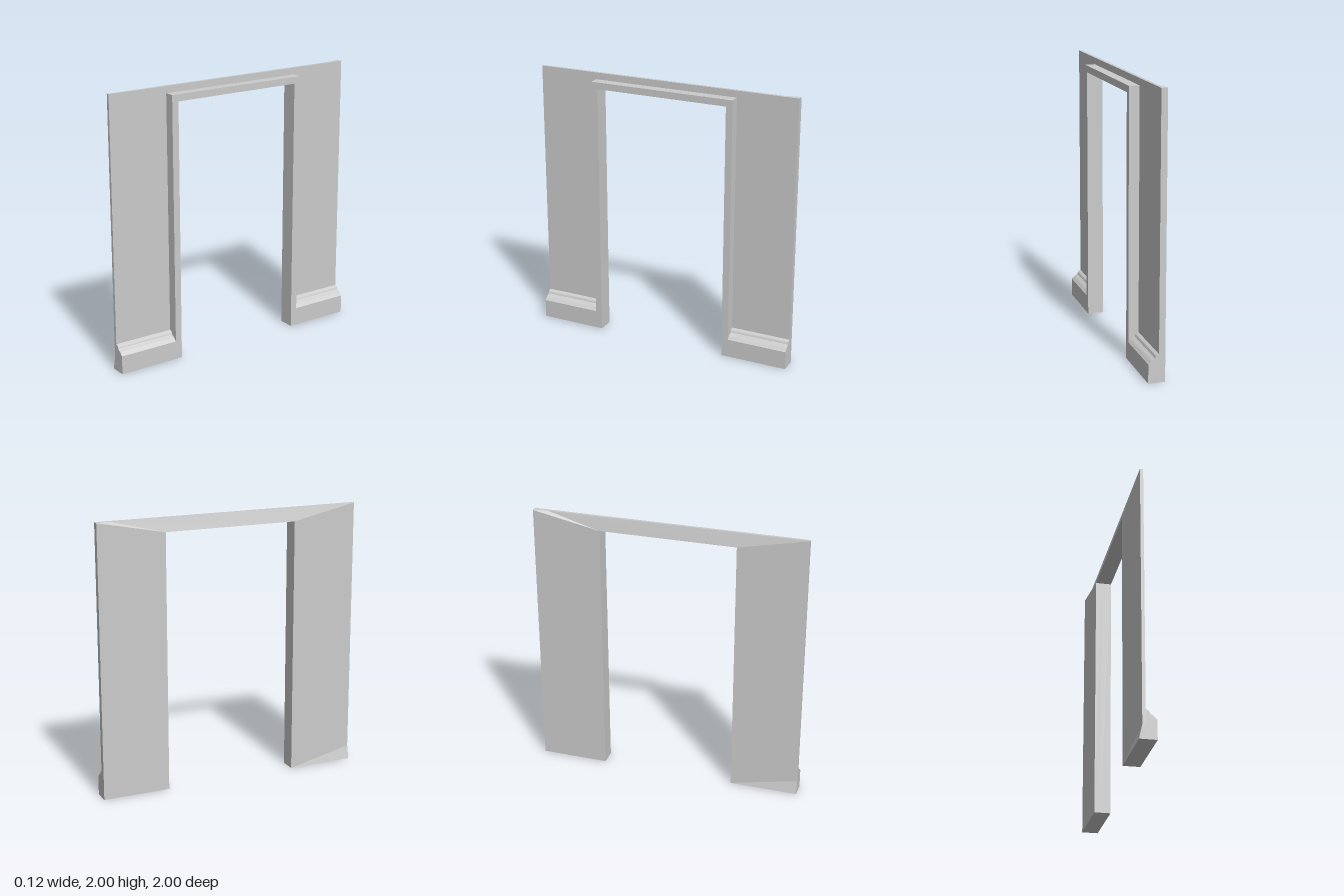
import * as THREE from 'three';
import { toCreasedNormals } from 'three/addons/utils/BufferGeometryUtils.js';

const FRONT = 0.058, FACE = -0.017, BACK = -0.062, THIN = -0.04;
const material = new THREE.MeshStandardMaterial({ color: 0xcccccc });

function addMesh(group, name, geometry) {
  const mesh = new THREE.Mesh(geometry, material);
  mesh.name = name;
  group.add(mesh);
  return mesh;
}

// Wall slab with a doorway; its back tapers towards the top and one end
function wallGeometry() {
  // outline as [z, y, x of the back]
  const outline = [
    [-1, 0, BACK], [-1, 2, BACK], [-0.9, 2, THIN], [1, 2, THIN], [1, 0.1, THIN],
    [1, 0, BACK], [0.5, 0, BACK], [0.5, 1.9, BACK], [-0.5, 1.9, BACK], [-0.5, 0, BACK],
  ];
  const panels = [[0, 1, 8, 9], [1, 2, 8], [2, 3, 7, 8], [7, 3, 4], [7, 4, 6], [4, 5, 6]];
  const front = outline.map(([z, y]) => [FACE, y, z]);
  const back = outline.map(([z, y, x]) => [x, y, z]);
  const positions = [];
  const tri = (a, b, c) => positions.push(...a, ...b, ...c);
  // front and back faces as fans
  for (const p of panels) {
    for (let i = 1; i < p.length - 1; i++) {
      tri(front[p[0]], front[p[i]], front[p[i + 1]]);
      tri(back[p[0]], back[p[i + 1]], back[p[i]]);
    }
  }
  // edges around the outline
  outline.forEach((_, i) => {
    const j = (i + 1) % outline.length;
    tri(front[i], back[j], front[j]);
    tri(front[i], back[i], back[j]);
  });
  const geometry = new THREE.BufferGeometry();
  geometry.setAttribute('position', new THREE.Float32BufferAttribute(positions, 3));
  geometry.computeVertexNormals();
  return geometry;
}

// U-shaped door trim standing proud of the wall
function trimGeometry() {
  const shape = new THREE.Shape([
    [-0.55, 0], [-0.5, 0], [-0.5, 1.9], [0.5, 1.9], [0.5, 0],
    [0.55, 0], [0.55, 1.95], [-0.55, 1.95],
  ].map(([u, y]) => new THREE.Vector2(u, y)));
  return new THREE.ExtrudeGeometry(shape, { depth: FRONT - FACE, bevelEnabled: false })
    .rotateY(Math.PI / 2).translate(FACE, 0, 0);
}

// Moulded skirting profile, extruded along the wall
function skirtingGeometry() {
  const shape = new THREE.Shape();
  shape.moveTo(FACE, 0);
  shape.lineTo(FRONT, 0);
  shape.lineTo(FRONT, 0.136);
  shape.lineTo(0.053, 0.14);
  shape.quadraticCurveTo(0.036, 0.164, 0.018, 0.169);
  shape.lineTo(0.01, 0.176);
  shape.quadraticCurveTo(0.006, 0.196, -0.006, 0.198);
  shape.lineTo(FACE, 0.203);
  const geometry = new THREE.ExtrudeGeometry(shape, { depth: 0.45, bevelEnabled: false, curveSegments: 5 });
  return toCreasedNormals(geometry, 0.5);
}

export function createModel() {
  const group = new THREE.Group();
  group.name = 'doorwayWall';
  addMesh(group, 'wall', wallGeometry());
  addMesh(group, 'doorTrim', trimGeometry());
  const skirting = skirtingGeometry();
  addMesh(group, 'frontSkirting', skirting).position.z = 0.55;
  addMesh(group, 'backSkirting', skirting).position.z = -1;
  return group;
}
